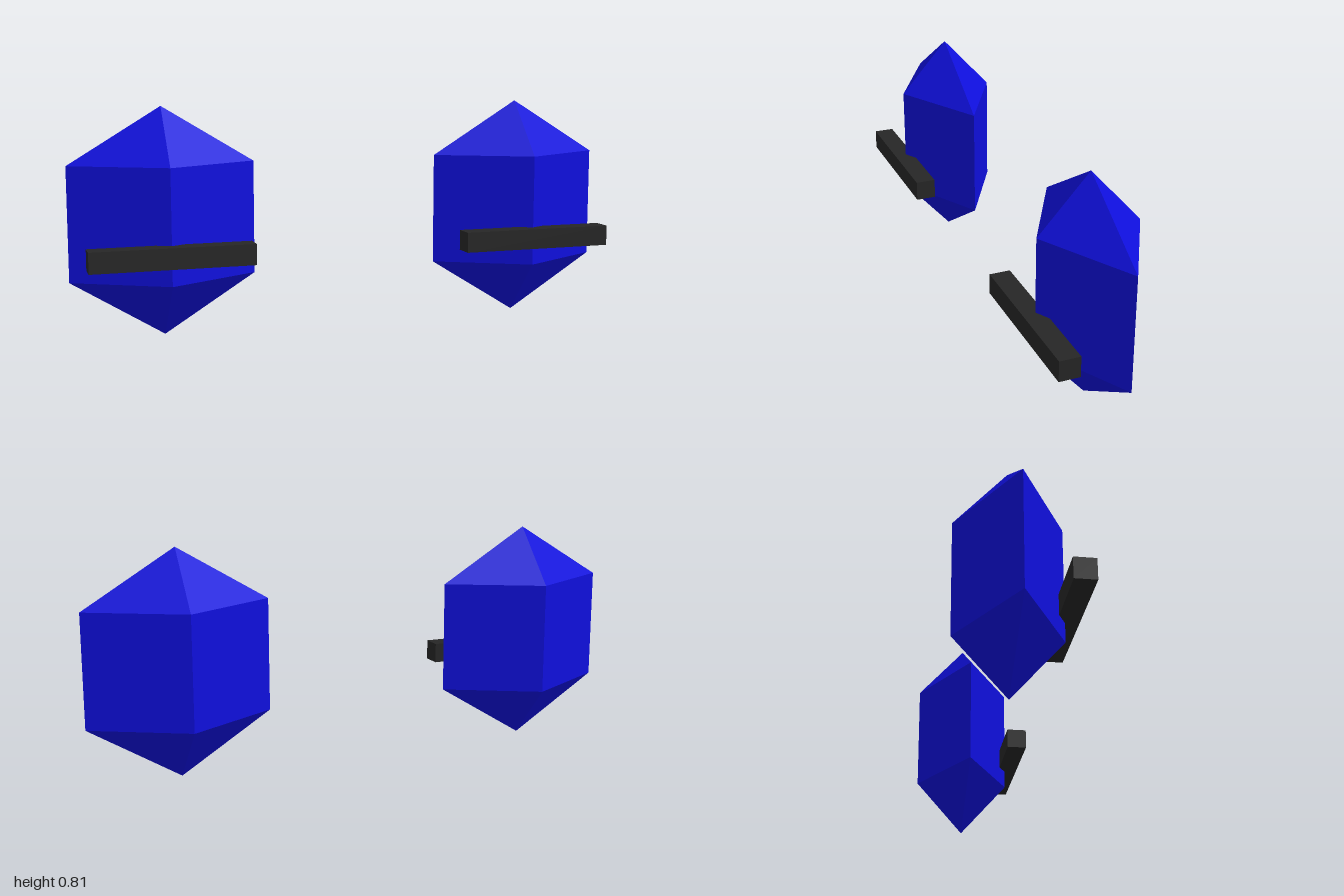
import * as THREE from 'three';

export function createModel() {
  const model = new THREE.Group();
  model.name = 'crystalPair';

  const blue = new THREE.MeshStandardMaterial({ color: 0x0f0fdc });
  blue.name = 'crystalBlue';
  blue.flatShading = true;
  const black = new THREE.MeshStandardMaterial({ color: 0x262626 });
  black.name = 'barBlack';

  // Four-sided crystal: prism with a pyramid at each end, flattened in z
  const profile = [[0, 0], [0.327, 0.203], [0.327, 0.607], [0, 0.806]]
    .map(([r, y]) => new THREE.Vector2(r, y));
  const crystalGeometry = new THREE.LatheGeometry(profile, 4);
  crystalGeometry.scale(1, 1, 0.179 / 0.327);

  // Square bar across the front edge
  const barGeometry = new THREE.BoxGeometry(0.565, 0.073, 0.073);

  for (const [side, sign] of [['left', 1], ['right', -1]]) {
    const unit = new THREE.Group();
    unit.name = side + 'Unit';
    unit.position.x = sign * 0.673;

    const crystal = new THREE.Mesh(crystalGeometry, blue);
    crystal.name = side + 'Crystal';
    crystal.position.z = -0.022;

    const bar = new THREE.Mesh(barGeometry, black);
    bar.name = side + 'Bar';
    bar.position.set(0, 0.307, 0.1655);

    unit.add(crystal, bar);
    model.add(unit);
  }
  return model;
}
